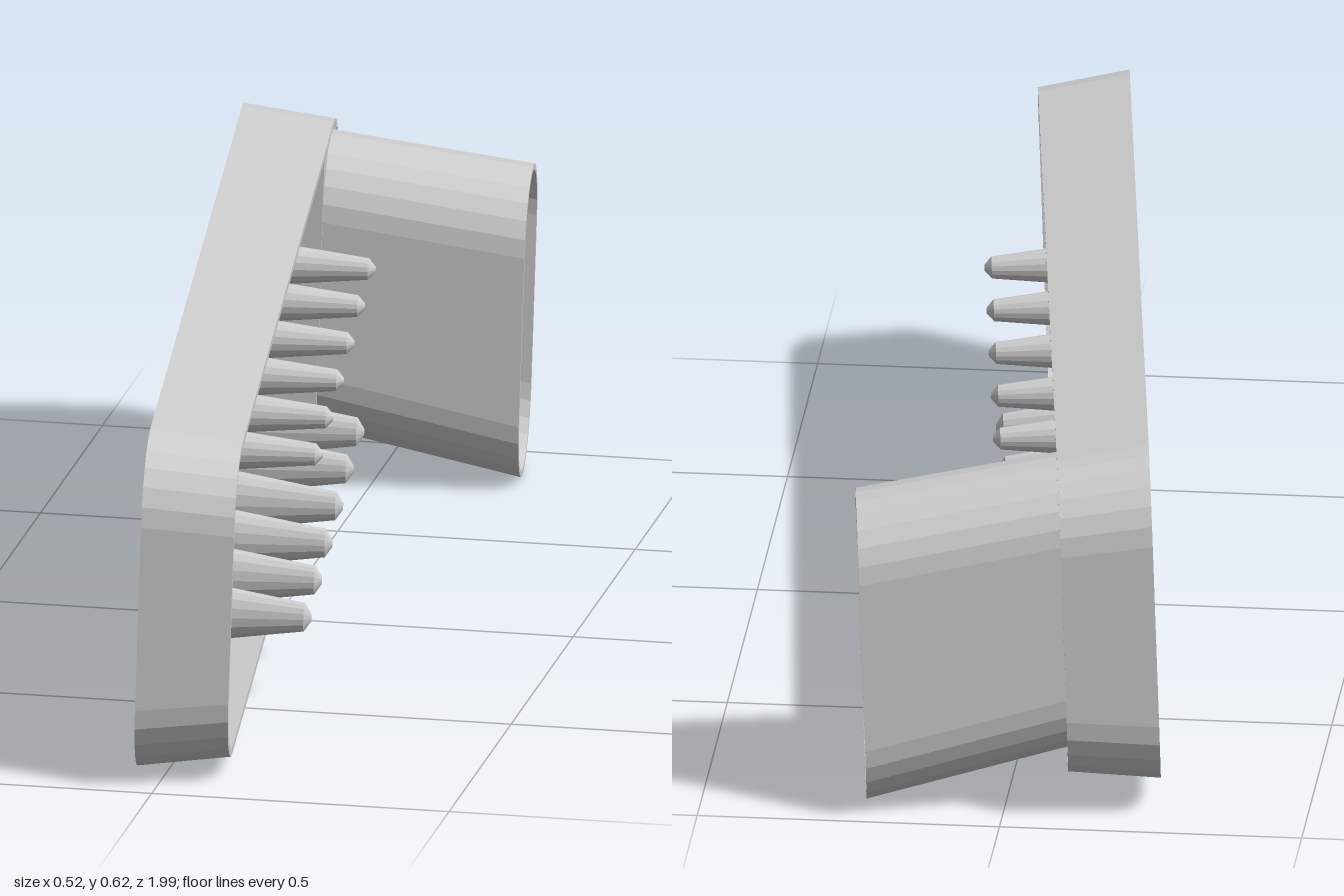
import * as THREE from 'three';

// Local frame: x = depth out of the tray, y = height, z = length.
const CORNER_STEPS = 6;
const DEPTH = 0.152, FLOOR = 0.012, WALL = 0.012;

// Rounded rectangle at depth n, counter-clockwise seen from +x.
function ring(n, z0, z1, y0, y1, r) {
  const pts = [];
  const corners = [[z0 + r, y1 - r], [z1 - r, y1 - r], [z1 - r, y0 + r], [z0 + r, y0 + r]];
  corners.forEach(([z, y], k) => {
    for (let i = 0; i <= CORNER_STEPS; i++) {
      const a = (k + i / CORNER_STEPS) * Math.PI / 2;
      pts.push(new THREE.Vector3(n, y + r * Math.sin(a), z - r * Math.cos(a)));
    }
  });
  return pts;
}

// Skin through equal-sized rings, optionally capped at both ends.
function loft(rings, capped) {
  const pos = [];
  const tri = (...v) => v.forEach(p => pos.push(p.x, p.y, p.z));
  const count = rings[0].length;
  const centre = r => r.reduce((s, p) => s.add(p), new THREE.Vector3()).divideScalar(count);
  const first = rings[0], last = rings[rings.length - 1];
  for (let j = 0; j < count; j++) {
    const k = (j + 1) % count;
    for (let i = 0; i + 1 < rings.length; i++) {
      const a = rings[i], b = rings[i + 1];
      tri(a[j], a[k], b[k]);
      tri(a[j], b[k], b[j]);
    }
    if (capped) {
      tri(centre(first), first[k], first[j]);
      tri(centre(last), last[j], last[k]);
    }
  }
  const g = new THREE.BufferGeometry();
  g.setAttribute('position', new THREE.Float32BufferAttribute(pos, 3));
  g.computeVertexNormals();
  return g;
}

// Cross-section of the slanted duct at depth n.
function ductRing(n, inset) {
  const t = (n - DEPTH) / 0.333;
  const z = -0.822 - 0.016 * t, y = 0.011 - 0.058 * t;
  const hz = 0.118 + 0.003 * t - inset, hy = 0.252 + 0.014 * t - inset;
  return ring(n, z - hz, z + hz, y - hy, y + hy, hz - 0.001);
}

export function createModel() {
  const model = new THREE.Group();
  const body = new THREE.Group();
  body.name = 'body';
  model.add(body);
  const grey = new THREE.MeshStandardMaterial({ color: 0xcecece, flatShading: true });
  grey.name = 'grey';
  const add = (name, geometry) => {
    const mesh = new THREE.Mesh(geometry, grey);
    mesh.name = name;
    body.add(mesh);
    return mesh;
  };

  // Shallow tray with drafted walls
  add('tray', loft([
    ring(0, -0.985, 0.985, -0.289, 0.289, 0.13),
    ring(DEPTH, -0.985, 0.965, -0.27, 0.27, 0.125),
    ring(DEPTH, -0.985 + WALL, 0.965 - WALL, -0.27 + WALL, 0.27 - WALL, 0.113),
    ring(FLOOR, -0.985 + WALL, 0.983 - WALL, -0.287 + WALL, 0.287 - WALL, 0.118),
  ], true));

  // Partition closing off the duct chamber
  const partition = add('partition', new THREE.BoxGeometry(DEPTH - FLOOR, 0.535, 0.008));
  partition.position.set((DEPTH + FLOOR) / 2 - 0.001, 0, -0.7);

  // Cover over the chamber, rounded at the end, with an opening for the duct
  const start = 0.696, edge = 0.262, end = 0.977, r = 0.115;
  const cover = new THREE.Shape();
  cover.moveTo(start, -edge);
  cover.lineTo(end - r, -edge);
  cover.absarc(end - r, -edge + r, r, -Math.PI / 2, 0);
  cover.absarc(end - r, edge - r, r, 0, Math.PI / 2);
  cover.lineTo(start, edge);
  cover.closePath();
  cover.holes.push(new THREE.Path(ductRing(DEPTH, 0.004).map(p => new THREE.Vector2(-p.z, p.y))));
  const coverGeo = new THREE.ExtrudeGeometry(cover, { depth: WALL, bevelEnabled: false, curveSegments: CORNER_STEPS });
  coverGeo.rotateY(Math.PI / 2);
  add('chamberCover', coverGeo).position.x = DEPTH - WALL - 0.0005;

  // Hollow oblong duct
  add('duct', loft([
    ductRing(FLOOR, 0), ductRing(0.485, 0), ductRing(0.485, 0.01), ductRing(FLOOR, 0.01),
  ], false));

  // Two rows of tapered pins, the lower row taller in section
  const rows = [
    { name: 'upperPin', y: 0.12, tip: 0.253, stretch: 1.15 },
    { name: 'lowerPin', y: -0.163, tip: 0.243, stretch: 1.55 },
  ];
  for (const { name, y, tip, stretch } of rows) {
    const profile = [[0.038, FLOOR], [0.016, tip - 0.012], [0.004, tip], [0, tip]];
    const pin = new THREE.LatheGeometry(profile.map(p => new THREE.Vector2(...p)), 16);
    pin.rotateZ(-Math.PI / 2);
    pin.scale(1, stretch, 1);
    for (let i = 0; i < 6; i++) add(name, pin).position.set(0, y, 0.431 - 0.197 * i);
  }

  // Slight tilt of the whole body
  const L = new THREE.Vector3(0.118, -0.018, 1).normalize();
  const N = new THREE.Vector3(0.035, 1, 0.014).cross(L).normalize();
  const H = L.clone().cross(N);
  body.quaternion.setFromRotationMatrix(new THREE.Matrix4().makeBasis(N, H, L));

  // Centre and stand on the ground
  model.updateMatrixWorld(true);
  const box = new THREE.Box3().setFromObject(model, true);
  const c = box.getCenter(new THREE.Vector3());
  body.position.set(-c.x, -box.min.y, -c.z);
  return model;
}
